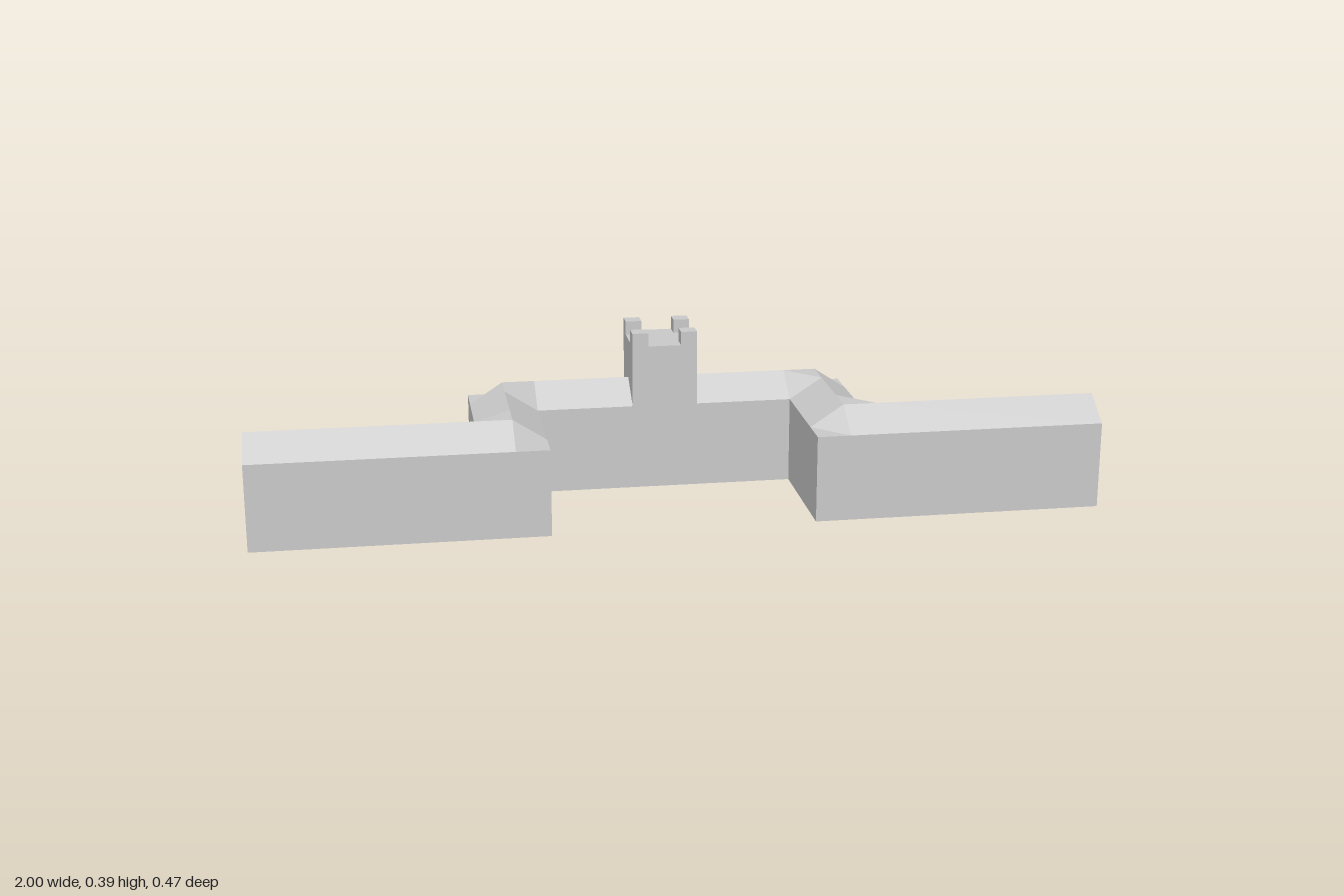
import * as THREE from 'three';

const H = 0.079;      // half the wall thickness
const EAVE = 0.208;   // top of the upright walls
const RIDGE = 0.26;   // roof ridge
const CX = 0.39, CZ = 0.155; // wall centre lines

const material = new THREE.MeshStandardMaterial({ color: 0xcccccc, flatShading: true });

// Mesh from convex polygons, each cut into a fan
function polyMesh(name, polygons, flip = false) {
  const pos = [];
  for (const p of polygons) {
    for (let i = 1; i < p.length - 1; i++) {
      const tri = flip ? [p[0], p[i + 1], p[i]] : [p[0], p[i], p[i + 1]];
      tri.forEach(v => pos.push(...v));
    }
  }
  const geo = new THREE.BufferGeometry();
  geo.setAttribute('position', new THREE.Float32BufferAttribute(pos, 3));
  geo.computeVertexNormals();
  const mesh = new THREE.Mesh(geo, material);
  mesh.name = name;
  return mesh;
}

// Straight gabled wall between two plan points [x, z], with an optional end cap
function wallRun(name, a, b, capped = false) {
  const len = Math.hypot(b[0] - a[0], b[1] - a[1]);
  const nx = -(b[1] - a[1]) / len, nz = (b[0] - a[0]) / len;
  const profile = [[-H, 0], [-H, EAVE], [0, RIDGE], [H, EAVE], [H, 0]];
  const section = c => profile.map(([o, y]) => [c[0] + nx * o, y, c[1] + nz * o]);
  const sa = section(a), sb = section(b);
  const faces = sa.map((_, i) => {
    const j = (i + 1) % sa.length;
    return [sa[i], sa[j], sb[j], sb[i]];
  });
  if (capped) faces.push(sb);
  return polyMesh(name, faces);
}

// Corner block: u and v are the plan directions of the two walls that leave it
function wallCorner(name, c, u, v) {
  const p = (s, t, y) => [c[0] + (u[0] * s + v[0] * t) * H, y, c[1] + (u[1] * s + v[1] * t) * H];
  const top = p(0, 0, RIDGE), ridgeU = p(1, 0, RIDGE), ridgeV = p(0, 1, RIDGE);
  const midU = p(0, -1, EAVE), midV = p(-1, 0, EAVE), outer = p(-1, -1, EAVE);
  const endU = p(1, -1, EAVE), endV = p(-1, 1, EAVE);
  const faces = [
    [top, ridgeU, ridgeV],                   // level top between the ridges
    [ridgeU, p(1, 1, EAVE), ridgeV],         // inner facet
    [top, midU, endU, ridgeU],               // outer slopes
    [top, ridgeV, endV, midV],
    [top, midV, midU],                       // cut-off hip
    [midV, outer, midU],
    [p(-1, -1, 0), p(1, -1, 0), endU, outer], // outer walls
    [p(-1, 1, 0), p(-1, -1, 0), outer, endV],
    [p(-1, -1, 0), p(-1, 1, 0), p(1, 1, 0), p(1, -1, 0)],
  ];
  return polyMesh(name, faces, u[0] * v[1] - u[1] * v[0] > 0);
}

function box(name, w, h, d, x, y, z) {
  const mesh = new THREE.Mesh(new THREE.BoxGeometry(w, h, d), material);
  mesh.position.set(x, y + h / 2, z);
  mesh.name = name;
  return mesh;
}

export function createModel() {
  const model = new THREE.Group();
  model.name = 'fortifiedWall';

  // Two mirrored halves of the stepped wall
  for (const s of [1, -1]) {
    const side = s > 0 ? 'left' : 'right';
    model.add(
      wallRun(side + 'BackWall', [s * H, -CZ], [s * (CX - H), -CZ]),
      wallCorner(side + 'BackCorner', [s * CX, -CZ], [-s, 0], [0, 1]),
      wallRun(side + 'LinkWall', [s * CX, -CZ + H], [s * CX, CZ - H]),
      wallCorner(side + 'FrontCorner', [s * CX, CZ], [s, 0], [0, -1]),
      wallRun(side + 'Wing', [s * (CX + H), CZ], [s, CZ], true),
    );
  }

  // Gate tower with a merlon on each corner
  const tower = new THREE.Group();
  tower.name = 'tower';
  const deck = 0.357, m = 0.039;
  tower.add(box('towerBody', 2 * H, deck, 2 * H, 0, 0, -CZ));
  for (const sx of [1, -1]) {
    for (const sz of [1, -1]) {
      tower.add(box('merlon', m, 0.033, m, sx * (H - m / 2), deck, -CZ + sz * (H - m / 2)));
    }
  }
  model.add(tower);
  return model;
}
